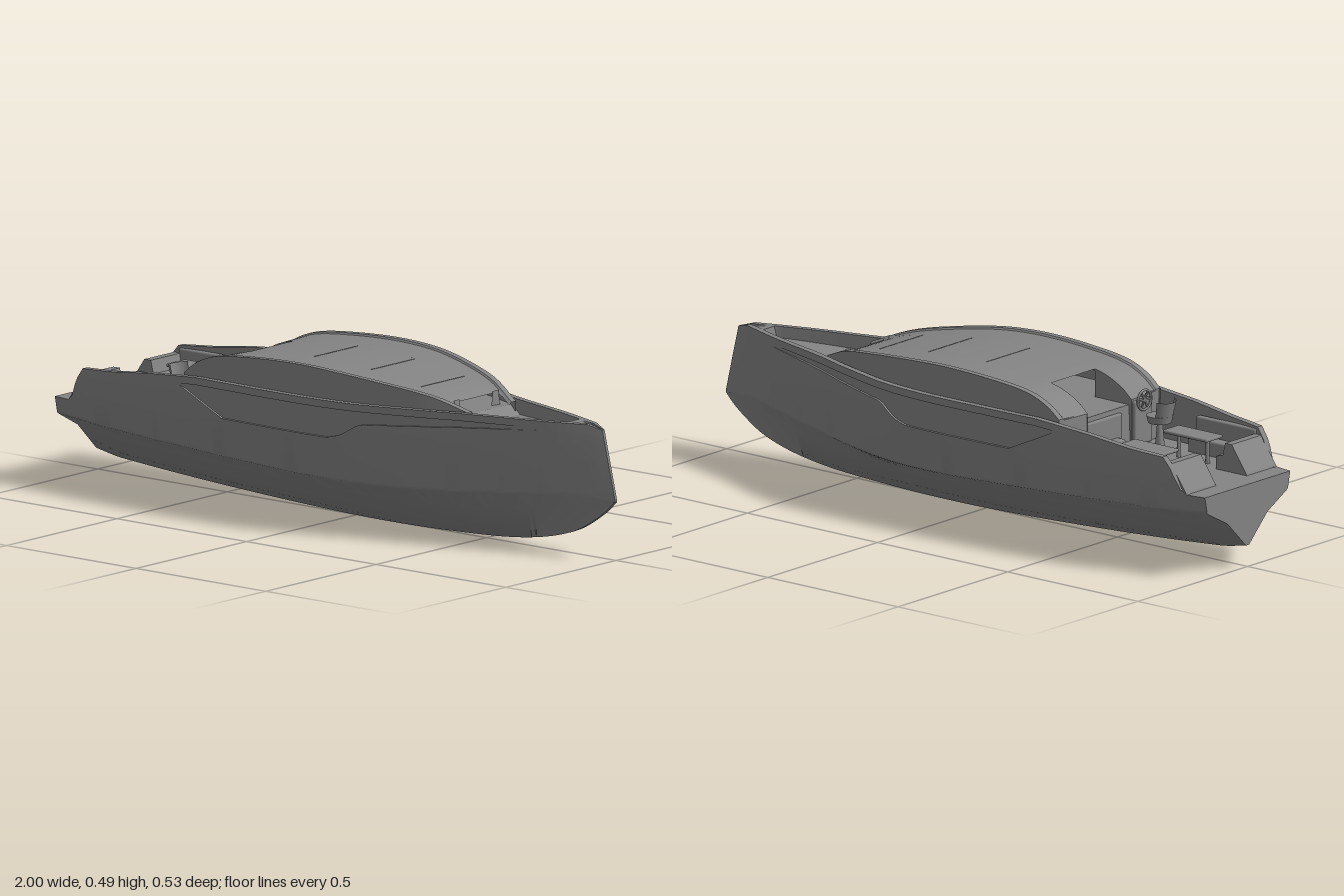
import * as THREE from 'three';
import { toCreasedNormals } from 'three/addons/utils/BufferGeometryUtils.js';
import { RoundedBoxGeometry } from 'three/addons/geometries/RoundedBoxGeometry.js';

const paint = new THREE.MeshStandardMaterial({ color: 0x848484, side: THREE.DoubleSide });

// Table lookup: straight segments, or a smooth curve through the points
function lookup(table, x, smooth = true) {
  const n = table.length;
  if (x <= table[0][0]) return table[0][1];
  if (x >= table[n - 1][0]) return table[n - 1][1];
  let i = 0;
  while (x > table[i + 1][0]) i++;
  const [x0, y0] = table[i], [x1, y1] = table[i + 1], h = x1 - x0, t = (x - x0) / h;
  if (!smooth) return y0 + (y1 - y0) * t;
  const slope = (k) => {
    const a = table[Math.max(k - 1, 0)], b = table[Math.min(k + 1, n - 1)];
    return (b[1] - a[1]) / (b[0] - a[0]);
  };
  const t2 = t * t, t3 = t2 * t;
  return (2 * t3 - 3 * t2 + 1) * y0 + (t3 - 2 * t2 + t) * h * slope(i)
    + (3 * t2 - 2 * t3) * y1 + (t3 - t2) * h * slope(i + 1);
}

// Skin a list of equal-length cross-sections of [x, y, z] points
function loft(sections, crease = 0.45) {
  const m = sections[0].length, idx = [];
  for (let i = 0; i + 1 < sections.length; i++)
    for (let j = 0; j + 1 < m; j++) {
      const a = i * m + j, b = a + m;
      idx.push(a, b, a + 1, b, b + 1, a + 1);
    }
  const g = new THREE.BufferGeometry();
  g.setAttribute('position', new THREE.Float32BufferAttribute(sections.flat(2), 3));
  g.setIndex(idx);
  return toCreasedNormals(g, crease);
}

function range(a, b, n) {
  return Array.from({ length: n + 1 }, (_, i) => a + (b - a) * i / n);
}

// Hull lines along the length
const beam = [[-1, 0.203], [-0.8, 0.235], [-0.5, 0.255], [-0.1, 0.265], [0.05, 0.262], [0.2, 0.243], [0.4, 0.185],
  [0.52, 0.143], [0.7, 0.092], [0.9, 0.032], [1, 0.005]];
const keel = [[-1, 0.065], [-0.9, 0.048], [-0.4, 0.016], [0.1, 0], [0.5, 0.01], [0.7, 0.03], [0.85, 0.07], [0.95, 0.13], [1, 0.175]];
const chine = [[-1, 0.2], [-0.5, 0.178], [0, 0.16], [0.4, 0.158], [0.7, 0.175], [0.85, 0.187], [1, 0.18]];
const sheer = [[-0.94, 0.25], [-0.92, 0.265], [-0.89, 0.325], [-0.865, 0.357], [-0.75, 0.365], [-0.6, 0.383], [-0.45, 0.395],
  [-0.4, 0.398], [0.94, 0.398], [1, 0.385]];
const deck = [[-0.94, 0.25], [-0.465, 0.25], [-0.46, 0.375], [0.49, 0.38], [0.53, 0.355], [0.84, 0.365], [0.85, 0.398], [1, 0.385]];
const windowSill = [[-0.47, 0.368], [-0.3, 0.29], [0.1, 0.288], [0.15, 0.3], [0.21, 0.338], [0.77, 0.37]];
const windowDepth = [[-0.47, 0], [-0.45, 0.008], [0.6, 0.008], [0.77, 0]];

// Section from deck centre round the keel and back: 14 points a side
function hullSection(x) {
  const w = lookup(beam, x), yk = lookup(keel, x), yc = lookup(chine, x);
  const ys = lookup(sheer, x, false), yd = Math.min(lookup(deck, x, false), ys);
  const yt = ys - 0.022, inWindow = x > -0.47 && x < 0.77;
  const yb = inWindow ? Math.min(lookup(windowSill, x, false), yt - 0.004) : yt - 0.004;
  const d = Math.min(lookup(windowDepth, x, false), w * 0.3);
  const wc = w * 0.905, ym = Math.min(0.28, yb - 0.002);
  const side = (y) => wc + (w - wc) * Math.min(1, (y - yc) / (0.29 - yc));
  const cap = Math.max(w - 0.02, w * 0.3);
  const half = [
    [yk, Math.min(0.007, w)], [yk + (yc - yk) * 0.62, w * 0.45], [yc - 0.005, wc * 0.965], [yc, wc],
    [yc + 0.008, side(yc + 0.008)], [ym, side(ym)], [yb, side(yb)],
    [yb, side(yb) - d], [yt, side(yt) - d], [yt, side(yt)],
    [ys, side(ys)], [ys, cap], [yd, Math.max(cap - 0.004, w * 0.28)], [yd, 0],
  ];
  // The stem rakes back towards the deck
  const rake = 0.05 * Math.max(0, (x - 0.7) / 0.3) ** 2;
  const pt = ([y, z], s) => [x - rake * Math.max(0, (y - 0.18) / 0.21), y, s * z];
  return [...half.map((p) => pt(p, 1)).reverse(), ...half.map((p) => pt(p, -1))];
}

// Cabin lines
const cabinBeam = [[-0.47, 0.231], [-0.25, 0.239], [0, 0.241], [0.15, 0.23], [0.35, 0.178], [0.52, 0.11]];
const cabinTop = [[-0.47, 0.4], [-0.43, 0.432], [-0.36, 0.462], [-0.25, 0.478], [-0.05, 0.488], [0.12, 0.481],
  [0.3, 0.458], [0.42, 0.434], [0.52, 0.395]];
const roofY = (x) => lookup(cabinTop, x) - 0.008;

export function createModel() {
  const boat = new THREE.Group();
  const add = (name, geo, x = 0, y = 0, z = 0, parent = boat) => {
    const mesh = new THREE.Mesh(geo, paint);
    mesh.name = name;
    mesh.position.set(x, y, z);
    parent.add(mesh);
    return mesh;
  };
  const box = (name, x0, x1, y0, y1, z0, z1, r = 0.006) => add(name,
    new RoundedBoxGeometry(x1 - x0, y1 - y0, z1 - z0, 2, r), (x0 + x1) / 2, (y0 + y1) / 2, (z0 + z1) / 2);

  // Smooth outer shell, then bulwarks with recessed side windows and decks
  const breaks = [-0.94, -0.92, -0.89, -0.865, -0.47, -0.465, -0.46, -0.45, 0.49, 0.53, 0.77, 0.85];
  const stations = [...new Set([...range(-1, 1, 100).map((v) => +v.toFixed(3)), ...breaks])].sort((a, b) => a - b);
  const sections = stations.map(hullSection);
  const stern = sections[0], bow = sections.at(-1);
  add('hullShell', loft(sections.map((s) => s.slice(7, 21)), 1.2));
  add('leftBulwarkAndDeck', loft(sections.map((s) => s.slice(0, 8))));
  add('rightBulwarkAndDeck', loft(sections.map((s) => s.slice(20))));
  add('transom', loft([stern.map(() => [-1, 0.17, 0]), stern]));
  add('stemFace', loft([bow.slice(0, 14), bow.slice(14).reverse()]));

  // Cabin sides and outer roof, one per side
  const cabinX = range(-0.47, 0.52, 50);
  for (const s of [1, -1]) {
    add('cabinSide', loft(cabinX.map((x) => {
      const w = lookup(cabinBeam, x), y = lookup(cabinTop, x), inner = Math.min(0.1, w - 0.03);
      return [[x, 0.365, s * w], [x, y, s * w], [x, y, s * (w - 0.02)],
        [x, y - 0.005, s * (w - 0.025)], [x, roofY(x), s * inner]];
    })));
    // Cheek wall beside the companionway, and the aft bulkhead
    add('companionwayWall', loft(range(-0.47, -0.33, 10).map((x) =>
      [[x, 0.25, s * 0.1], [x, roofY(x), s * 0.1]])));
    add('aftBulkhead', loft([[[-0.468, 0.25, s * 0.1], [-0.468, 0.392, s * 0.1]],
      [[-0.468, 0.25, s * 0.228], [-0.468, 0.4, s * 0.228]]]));
    // Windscreen post
    add('windscreenPost', loft([[[0.46, 0.37, s * 0.068], [0.46, 0.422, s * 0.075]],
      [[0.47, 0.37, s * 0.1], [0.46, 0.422, s * 0.1]]]));
  }

  // Sliding centre roof with narrow pane seams
  add('centreRoof', loft(range(-0.33, 0.455, 40).map((x) => {
    const y = roofY(x);
    return [[x, y - 0.006, 0.1], [x, y, 0.1], [x, y, -0.1], [x, y - 0.006, -0.1]];
  })));
  for (const x of [-0.08, 0.14, 0.33])
    box('roofSeam', x - 0.0015, x + 0.0015, roofY(x) - 0.003, roofY(x) + 0.001, -0.098, 0.098, 0.0005);

  // Companionway hatch and step
  box('companionwayHatch', -0.47, -0.37, 0.25, 0.36, -0.1, 0.06);
  box('companionwayStep', -0.5, -0.46, 0.25, 0.29, -0.08, 0.04);

  // Sloping stern locker profile
  const locker = new THREE.Shape([[-0.94, 0.245], [-0.935, 0.256], [-0.88, 0.335], [-0.855, 0.335], [-0.845, 0.295],
    [-0.82, 0.29], [-0.82, 0.245]].map(([x, y]) => new THREE.Vector2(x, y)));

  // Cockpit: settees, stern lockers, tables on posts
  for (const s of [1, -1]) {
    const zs = (a, b) => (s > 0 ? [a, b] : [-b, -a]);
    const x1 = s > 0 ? -0.63 : -0.5;
    box('settee', -0.86, x1, 0.245, 0.295, ...zs(0.165, 0.22));
    box('setteeBack', -0.86, x1, 0.29, 0.35, ...zs(0.2, 0.222));
    add('sternLocker', new THREE.ExtrudeGeometry(locker, { depth: 0.135, bevelEnabled: false }), 0, 0, zs(0.07, 0.205)[0]);
    box('tableTop', -0.79, -0.62, 0.325, 0.335, ...zs(0.062, s > 0 ? 0.137 : 0.148), 0.004);
    for (const x of [-0.76, -0.65])
      add('tablePost', new THREE.CylinderGeometry(0.005, 0.007, 0.08, 12), x, 0.287, s * 0.102);
  }

  // Helm seat, console and wheel
  add('helmSeatPost', new THREE.CylinderGeometry(0.008, 0.015, 0.08, 16), -0.545, 0.29, 0.14);
  add('helmSeat', new THREE.CylinderGeometry(0.04, 0.035, 0.022, 28), -0.545, 0.34, 0.14);
  const back = add('helmSeatBack', new THREE.CylinderGeometry(0.042, 0.037, 0.055, 20, 1, true, Math.PI * 1.1, Math.PI * 0.8),
    -0.55, 0.375, 0.14);
  back.rotation.z = 0.15;
  box('helmConsole', -0.48, -0.44, 0.25, 0.385, 0.105, 0.185);
  const wheel = new THREE.Group();
  wheel.name = 'steeringWheel';
  wheel.position.set(-0.486, 0.386, 0.14);
  wheel.rotation.set(0, Math.PI / 2, 0);
  add('wheelRim', new THREE.TorusGeometry(0.03, 0.004, 8, 32), 0, 0, 0, wheel);
  for (let i = 0; i < 3; i++) {
    const spoke = add('wheelSpoke', new THREE.BoxGeometry(0.058, 0.005, 0.004), 0, 0, 0, wheel);
    spoke.rotation.z = i * Math.PI / 3;
  }
  boat.add(wheel);
  return boat;
}
